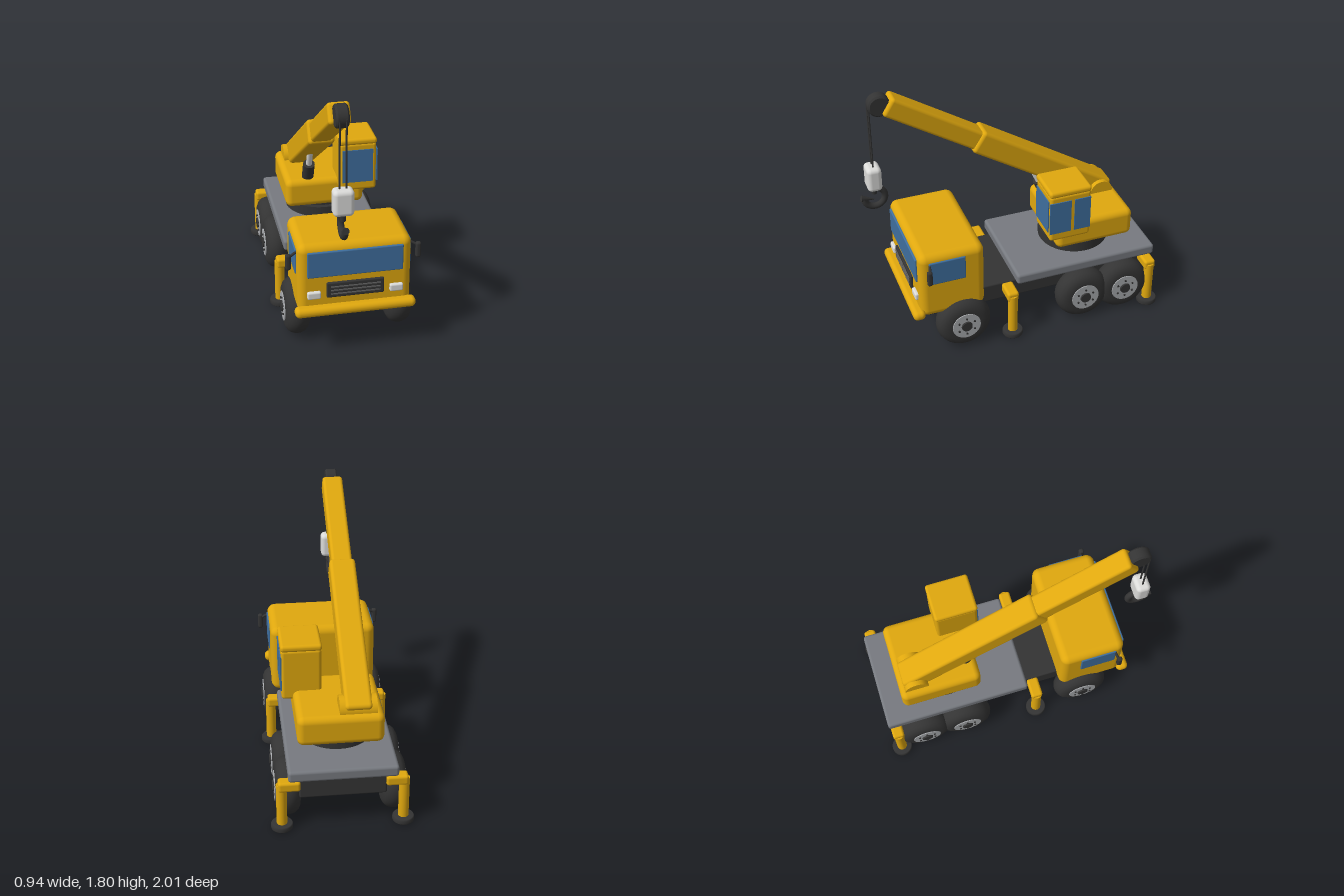
import * as THREE from 'three';
import { RoundedBoxGeometry } from 'three/addons/geometries/RoundedBoxGeometry.js';

const mat = (name, color) => {
  const m = new THREE.MeshStandardMaterial({ color });
  m.name = name;
  return m;
};

export function createModel() {
  const yellow = mat('yellow paint', 0xe0a80e);
  const dark = mat('dark rubber', 0x343434);
  const grey = mat('deck grey', 0x777a80);
  const rim = mat('rim grey', 0xa9abae);
  const glass = mat('blue glass', 0x3f6f9f);
  const white = mat('light grey', 0xdcdcda);
  const slat = mat('slat grey', 0x606060);

  const model = new THREE.Group();
  model.name = 'craneTruck';

  const add = (parent, name, geometry, material, x = 0, y = 0, z = 0) => {
    const m = new THREE.Mesh(geometry, material);
    m.name = name;
    m.position.set(x, y, z);
    parent.add(m);
    return m;
  };
  // Rounded box given by its limits on each axis
  const block = (parent, name, material, [x0, x1], [y0, y1], [z0, z1], r) =>
    add(parent, name, new RoundedBoxGeometry(x1 - x0, y1 - y0, z1 - z0, 4, r), material,
      (x0 + x1) / 2, (y0 + y1) / 2, (z0 + z1) / 2);
  const plate = (parent, name, material, w, h, d, x, y, z) =>
    add(parent, name, new THREE.BoxGeometry(w, h, d), material, x, y, z);
  // Cylinder between two points
  const rod = (parent, name, material, a, b, r, r2 = r) => {
    const p = new THREE.Vector3(...a), q = new THREE.Vector3(...b);
    const d = q.clone().sub(p);
    const m = add(parent, name, new THREE.CylinderGeometry(r2, r, d.length(), 24), material);
    m.position.copy(p).add(q).multiplyScalar(0.5);
    m.quaternion.setFromUnitVectors(new THREE.Vector3(0, 1, 0), d.normalize());
    return m;
  };
  const lathe = (pts) => new THREE.LatheGeometry(pts.map(p => new THREE.Vector2(...p)), 40);

  // Chassis and deck
  block(model, 'chassis', dark, [-0.285, 0.285], [0.235, 0.375], [-0.95, 0.69], 0.012);
  block(model, 'deck', grey, [-0.357, 0.357], [0.38, 0.46], [-0.985, 0.055], 0.02);

  // Driver cab
  block(model, 'cab', yellow, [-0.376, 0.376], [0.295, 0.805], [0.295, 0.755], 0.055);
  block(model, 'bumper', yellow, [-0.402, 0.402], [0.3, 0.367], [0.727, 0.813], 0.032);
  block(model, 'windscreen', glass, [-0.316, 0.316], [0.575, 0.76], [0.745, 0.767], 0.008);
  block(model, 'grille', dark, [-0.19, 0.19], [0.42, 0.53], [0.745, 0.772], 0.008);
  for (let i = 0; i < 3; i++)
    plate(model, 'grilleSlat', slat, 0.33, 0.008, 0.008, 0, 0.449 + i * 0.026, 0.773);
  for (const s of [-1, 1]) {
    add(model, 'headlight', new RoundedBoxGeometry(0.09, 0.054, 0.035, 4, 0.012), white,
      s * 0.273, 0.446, 0.76);
    add(model, 'cabSideWindow', new RoundedBoxGeometry(0.02, 0.18, 0.255, 3, 0.008), glass,
      s * 0.375, 0.666, 0.562);
    rod(model, 'mirrorArm', dark, [s * 0.36, 0.745, 0.68], [s * 0.43, 0.705, 0.695], 0.009);
    add(model, 'mirror', new RoundedBoxGeometry(0.036, 0.112, 0.036, 4, 0.014), dark,
      s * 0.43, 0.677, 0.7);
  }

  // Wheels, local +y is the outer side of the axle
  const tyreGeo = lathe([[0, -0.08], [0.1, -0.082], [0.135, -0.08], [0.165, -0.066], [0.183, -0.045],
    [0.192, -0.02], [0.194, 0], [0.192, 0.02], [0.183, 0.045], [0.165, 0.066], [0.135, 0.08],
    [0.1, 0.082], [0, 0.08]]);
  const rimGeo = new THREE.CylinderGeometry(0.1, 0.105, 0.022, 40);
  const hubGeo = new THREE.CylinderGeometry(0.037, 0.043, 0.03, 24);
  const boltGeo = new THREE.CylinderGeometry(0.0075, 0.0075, 0.016, 8);
  for (const z of [0.456, -0.429, -0.735]) {
    for (const s of [-1, 1]) {
      const wheel = new THREE.Group();
      wheel.name = 'wheel';
      wheel.position.set(s * 0.35, 0.195, z);
      wheel.rotation.z = -s * Math.PI / 2;
      model.add(wheel);
      add(wheel, 'tyre', tyreGeo, dark);
      add(wheel, 'rim', rimGeo, rim, 0, 0.076, 0);
      add(wheel, 'hub', hubGeo, dark, 0, 0.083, 0);
      for (let i = 0; i < 6; i++) {
        const a = i * Math.PI / 3;
        add(wheel, 'bolt', boltGeo, dark, 0.064 * Math.cos(a), 0.086, 0.064 * Math.sin(a));
      }
    }
    rod(model, 'axle', dark, [-0.3, 0.195, z], [0.3, 0.195, z], 0.03);
  }

  // Outriggers
  const padGeo = lathe([[0, 0], [0.068, 0], [0.072, 0.006], [0.072, 0.03], [0.066, 0.038], [0, 0.038]]);
  for (const z of [0.108, -0.932]) {
    for (const s of [-1, 1]) {
      const leg = new THREE.Group();
      leg.name = 'outrigger';
      leg.position.set(s * 0.4, 0, z);
      model.add(leg);
      add(leg, 'outriggerBeam', new RoundedBoxGeometry(0.145, 0.07, 0.082, 4, 0.018), yellow,
        -s * 0.05, 0.335, 0);
      rod(leg, 'outriggerLeg', yellow, [0, 0.03, 0], [0, 0.34, 0], 0.035);
      add(leg, 'outriggerPad', padGeo, dark, 0, 0.003, 0);
    }
  }

  // Turntable and slewing body
  add(model, 'turntable', new THREE.CylinderGeometry(0.25, 0.25, 0.075, 48), dark, 0, 0.5, -0.5);
  add(model, 'turntableNeck', new THREE.CylinderGeometry(0.215, 0.215, 0.03, 48), dark, 0, 0.54, -0.5);
  block(model, 'slewingBody', yellow, [-0.283, 0.283], [0.545, 0.755], [-0.836, -0.265], 0.045);

  // Operator cabin
  block(model, 'operatorCabin', yellow, [0.09, 0.355], [0.69, 1.055], [-0.474, -0.178], 0.022);
  block(model, 'operatorRoof', yellow, [0.085, 0.358], [1.043, 1.09], [-0.477, -0.174], 0.02);
  plate(model, 'operatorFrontWindow', glass, 0.22, 0.25, 0.009, 0.218, 0.883, -0.175);
  plate(model, 'operatorSideWindow', glass, 0.009, 0.25, 0.155, 0.357, 0.883, -0.25);
  plate(model, 'operatorSideWindow', glass, 0.009, 0.25, 0.117, 0.357, 0.883, -0.41);

  // Boom, built along local +z and raised about its pivot
  const bx = -0.116;
  const boom = new THREE.Group();
  boom.name = 'boom';
  boom.position.set(bx, 0.768, -0.715);
  boom.rotation.x = -THREE.MathUtils.degToRad(32.5);
  model.add(boom);
  block(boom, 'boomBase', yellow, [-0.089, 0.089], [-0.085, 0.085], [-0.06, 1.075], 0.025);
  block(boom, 'boomExtension', yellow, [-0.071, 0.071], [-0.069, 0.069], [0.9, 1.785], 0.022);
  rod(model, 'boomPivot', yellow, [bx - 0.122, 0.757, -0.715], [bx + 0.122, 0.757, -0.715], 0.084);

  // Lifting ram
  rod(model, 'ramBarrel', dark, [bx, 0.7, -0.36], [bx, 0.885, -0.275], 0.042);
  rod(model, 'ramRod', white, [bx, 0.86, -0.286], [bx, 1.06, -0.195], 0.021);

  // Boom head pulley
  const pulley = add(model, 'headPulley',
    lathe([[0, -0.041], [0.064, -0.041], [0.064, -0.041], [0.075, -0.03], [0.075, -0.03],
      [0.075, 0.03], [0.075, 0.03], [0.064, 0.041], [0.064, 0.041], [0, 0.041]]),
    dark, bx, 1.726, 0.836);
  pulley.rotation.z = -Math.PI / 2;

  // Ropes, hook block and hook
  for (const s of [-1, 1])
    rod(model, 'rope', dark, [bx + s * 0.021, 1.25, 0.906], [bx + s * 0.021, 1.73, 0.906], 0.006);
  block(model, 'hookBlock', white, [bx - 0.067, bx + 0.067], [1.1, 1.277], [0.857, 0.956], 0.03);
  const hook = new THREE.Group();
  hook.name = 'hook';
  hook.position.set(bx, 1.025, 0.906);
  hook.rotation.y = -Math.PI / 2;
  model.add(hook);
  rod(hook, 'hookShank', dark, [0, 0.1, 0], [0, 0.03, 0], 0.023, 0.018);
  const curve = add(hook, 'hookCurve',
    new THREE.TorusGeometry(0.072, 0.022, 14, 40, Math.PI * 1.5), dark);
  curve.rotation.z = Math.PI / 2;
  rod(hook, 'hookTip', dark, [0.092, 0.005, 0], [0.0, -0.018, 0], 0.023, 0.001);

  return model;
}
